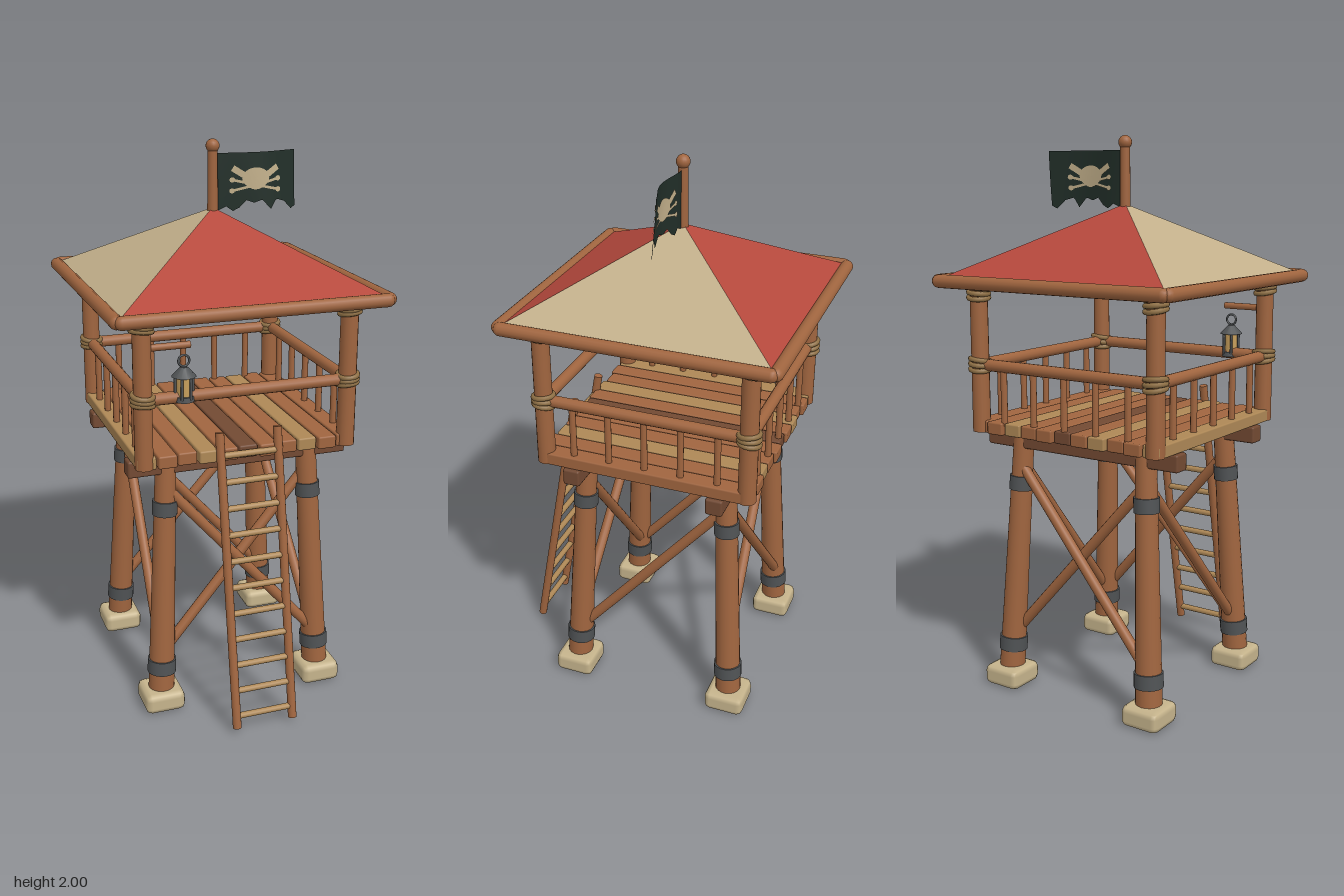
import * as THREE from 'three';
import { RoundedBoxGeometry } from 'three/addons/geometries/RoundedBoxGeometry.js';

const mat = (name, color, side = THREE.FrontSide) => {
  const m = new THREE.MeshStandardMaterial({ color, side });
  m.name = name;
  return m;
};
const V = (x, y, z) => new THREE.Vector3(x, y, z);

export function createModel() {
  const wood = mat('wood', 0xa0653f);
  const darkWood = mat('dark wood', 0x734a33);
  const paleWood = mat('pale wood', 0xae8856);
  const stone = mat('stone', 0xc6b48c);
  const iron = mat('iron', 0x505355);
  const rope = mat('rope', 0x8f7045);
  const red = mat('red cloth', 0xb5483c, THREE.DoubleSide);
  const canvas = mat('canvas', 0xc2af8a, THREE.DoubleSide);
  const flagCloth = mat('flag cloth', 0x212e28, THREE.DoubleSide);
  const glass = mat('lantern glass', 0xc9a05c);

  const model = new THREE.Group();
  model.name = 'watchtower';
  const tower = new THREE.Group();
  tower.name = 'tower';
  tower.position.z = -0.045;
  model.add(tower);

  const add = (name, geo, material, x = 0, y = 0, z = 0, parent = tower) => {
    const m = new THREE.Mesh(geo, material);
    m.name = name;
    m.position.set(x, y, z);
    parent.add(m);
    return m;
  };
  // Round timber between two points
  const rod = (name, a, b, rA, rB, material, sides = 14) => {
    const m = add(name, new THREE.CylinderGeometry(rB, rA, a.distanceTo(b), sides), material);
    m.position.copy(a).lerp(b, 0.5);
    m.quaternion.setFromUnitVectors(V(0, 1, 0), b.clone().sub(a).normalize());
    return m;
  };

  // Legs with stone feet and iron bands; corner posts with rope lashings
  const legAt = (sx, sz, y) => {
    const r = 0.308 - 0.046 * (y / 0.95);
    return V(sx * r, y, sz * r);
  };
  const P = 0.368;
  for (const sx of [-1, 1]) for (const sz of [-1, 1]) {
    const base = legAt(sx, sz, 0.04), top = legAt(sx, sz, 0.96);
    rod('leg', base, top, 0.048, 0.037, wood, 18);
    add('foot', new RoundedBoxGeometry(0.148, 0.075, 0.148, 1, 0.022), stone,
      sx * 0.306, 0.0425, sz * 0.306);
    for (const [y, r] of [[0.165, 0.052], [0.775, 0.045]])
      rod('legBand', legAt(sx, sz, y - 0.026), legAt(sx, sz, y + 0.026), r, r, iron, 18);

    rod('cornerPost', V(sx * P, 0.97, sz * P), V(sx * P, 1.5, sz * P), 0.032, 0.031, wood, 16);
    for (const y of [1.21, 1.462]) for (let i = -1; i <= 1; i++) {
      const ring = add('ropeLashing', new THREE.TorusGeometry(0.035, 0.009, 8, 20), rope,
        sx * P, y + i * 0.016, sz * P);
      ring.rotation.set(Math.PI / 2 + i * 0.12, 0.1 * sx, 0);
    }
  }

  // Diagonal braces: crossed front and back, single on the sides
  for (const s of [-1, 1]) {
    for (const d of [-1, 1]) {
      const off = V(0, 0, d * 0.012);
      rod('crossBrace', legAt(d, s, 0.2).add(off), legAt(-d, s, 0.85).add(off), 0.019, 0.019, wood);
    }
    rod('sideBrace', legAt(s, 1, 0.19), legAt(s, -1, 0.85), 0.019, 0.019, wood);
    add('deckBeam', new RoundedBoxGeometry(0.81, 0.062, 0.062, 1, 0.008), darkWood, 0, 0.936, s * 0.262);
  }

  // Deck planks
  const tones = [paleWood, wood, wood, paleWood, wood, darkWood, wood, wood, paleWood, wood, wood];
  tones.forEach((tone, i) => {
    const len = 0.775 + 0.012 * Math.sin(i * 2.3);
    add('plank', new RoundedBoxGeometry(0.067, 0.045, len, 1, 0.006), tone, (i - 5) * 0.0725, 0.99, 0);
  });

  // Railings and balusters, with an open front above the ladder
  for (const s of [-1, 1]) {
    rod('rail', V(-P, 1.21, s * P), V(P, 1.21, s * P), 0.021, 0.021, wood);
    rod('rail', V(s * P, 1.21, -P), V(s * P, 1.21, P), 0.021, 0.021, wood);
  }
  for (let i = -2; i <= 2; i++) {
    const t = i * 0.131;
    for (const [x, z] of [[-P, t], [P, t], [t, -P]])
      rod('baluster', V(x, 1.0, z), V(x, 1.2, z), 0.012, 0.012, wood, 10);
  }

  // Eave logs with rounded ends
  const eave = new THREE.CapsuleGeometry(0.0235, 0.915, 4, 14);
  for (const s of [-1, 1]) {
    add('eaveLog', eave, wood, 0, 1.505, s * 0.47).rotation.z = Math.PI / 2;
    add('eaveLog', eave, wood, s * 0.47, 1.505, 0).rotation.x = Math.PI / 2;
  }

  // Four roof panels
  for (let i = 0; i < 4; i++) {
    const g = new THREE.BufferGeometry();
    const h = 0.455;
    g.setAttribute('position', new THREE.Float32BufferAttribute(
      [-h, 1.517, h, h, 1.517, h, 0, 1.765, 0], 3));
    g.computeVertexNormals();
    add('roofPanel', g, i % 2 ? canvas : red).rotation.y = i * Math.PI / 2;
  }

  // Flagpole and finial
  rod('flagpole', V(0, 1.43, 0), V(0, 1.975, 0), 0.022, 0.017, wood);
  add('finial', new THREE.SphereGeometry(0.024, 18, 12), wood, 0, 1.976, 0);

  // Waving flag with a ragged hem
  const wave = (x, y) => {
    const u = Math.max(0, (x - 0.015) / 0.3);
    return -0.03 * u * Math.sin(4.25 * u - 3.4 + (y - 1.85) * 4);
  };
  const hem = [[0, 1.75], [0.12, 1.765], [0.2, 1.748], [0.28, 1.76], [0.36, 1.785], [0.45, 1.775],
    [0.55, 1.785], [0.66, 1.75], [0.73, 1.785], [0.84, 1.775], [0.94, 1.745], [1, 1.755]];
  const hemAt = (u) => {
    const k = Math.max(1, hem.findIndex((p) => p[0] >= u - 1e-6));
    const [a, b] = [hem[k - 1], hem[k]];
    return a[1] + (b[1] - a[1]) * (u - a[0]) / (b[0] - a[0]);
  };
  const flag = new THREE.PlaneGeometry(1, 1, 50, 10);
  const fp = flag.attributes.position;
  for (let i = 0; i < fp.count; i++) {
    const u = fp.getX(i) + 0.5, v = fp.getY(i) + 0.5;
    const x = 0.015 + 0.3 * u, y = THREE.MathUtils.lerp(hemAt(u), 1.95, v);
    fp.setXYZ(i, x, y, wave(x, y));
  }
  flag.computeVertexNormals();
  add('flag', flag, flagCloth);

  // Painted skull, hat brim and bones, draped on both faces of the flag
  const drape = (geo, side) => {
    const p = geo.attributes.position;
    for (let i = 0; i < p.count; i++)
      p.setZ(i, wave(p.getX(i), p.getY(i)) + side * 0.004);
    geo.computeVertexNormals();
    return geo;
  };
  const disc = (x, y, rx, ry) => new THREE.RingGeometry(0, 1, 20, 4).scale(rx, ry, 1).translate(x, y, 0);
  for (const s of [-1, 1]) {
    add('skull', drape(disc(0.155, 1.862, 0.05, 0.036), s), canvas);
    add('jaw', drape(disc(0.155, 1.838, 0.028, 0.016), s), canvas);
    for (const d of [-1, 1]) {
      const brim = new THREE.PlaneGeometry(0.075, 0.022, 8, 2).rotateZ(d * 0.55)
        .translate(0.155 + d * 0.052, 1.878, 0);
      add('hatBrim', drape(brim, s), canvas);
      const bone = new THREE.PlaneGeometry(0.17, 0.009, 16, 1).rotateZ(d * 0.22).translate(0.155, 1.838, 0);
      add('bone', drape(bone, s), canvas);
      for (const e of [-1, 1])
        add('boneEnd', drape(disc(0.155 + e * 0.085, 1.838 + e * d * 0.019, 0.01, 0.009), s), canvas);
    }
  }

  // Ladder leaning on the front edge of the deck
  const ladderZ = (y) => 0.572 - 0.186 * (y - 0.03);
  for (const s of [-1, 1])
    rod('ladderRail', V(s * 0.105, 0.025, ladderZ(0.025)), V(s * 0.105, 1.07, ladderZ(1.07)), 0.0155, 0.0155, wood);
  for (let i = 0; i < 11; i++) {
    const y = 0.068 + i * 0.0922;
    rod('rung', V(-0.105, y, ladderZ(y)), V(0.105, y, ladderZ(y)), 0.0115, 0.0115, paleWood, 10);
  }

  // Lantern hanging from a bracket on the front corner post
  rod('lanternBracket', V(-P, 1.387, P), V(-0.203, 1.387, P), 0.012, 0.012, wood, 10);
  const lantern = new THREE.Group();
  lantern.name = 'lantern';
  lantern.position.set(-0.227, 0, P + 0.005);
  tower.add(lantern);
  const part = (name, geo, m, y, x = 0, z = 0) => add(name, geo, m, x, y, z, lantern);
  part('lanternRing', new THREE.TorusGeometry(0.019, 0.004, 8, 20), iron, 1.335);
  part('lanternCap', new THREE.CylinderGeometry(0.012, 0.042, 0.032, 12), iron, 1.298);
  part('lanternGlass', new THREE.CylinderGeometry(0.027, 0.025, 0.08, 12), glass, 1.244);
  part('lanternBase', new THREE.CylinderGeometry(0.032, 0.035, 0.018, 12), iron, 1.206);
  for (let i = 0; i < 6; i++) {
    const a = i * Math.PI / 3;
    part('lanternBar', new THREE.CylinderGeometry(0.005, 0.005, 0.08, 6), iron, 1.246,
      0.031 * Math.cos(a), 0.031 * Math.sin(a));
  }
  return model;
}
